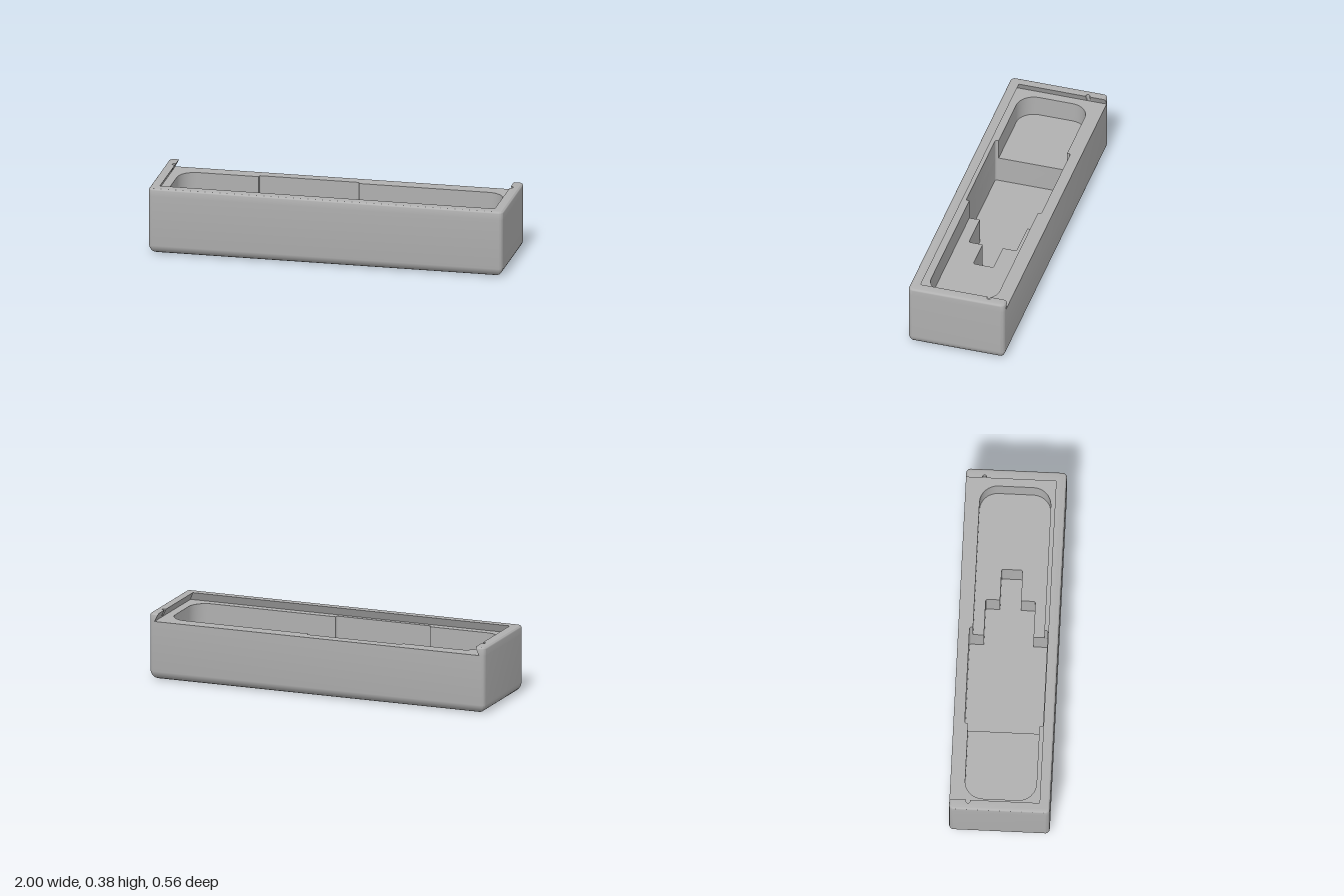
import * as THREE from 'three';
import { mergeGeometries, toCreasedNormals } from 'three/addons/utils/BufferGeometryUtils.js';

const X = 1, Z = 0.278, H = 0.381;        // outer half sizes and height
const DECK = 0.335, LEDGE = 0.215, FLOOR = 0.06;
const EDGE = 0.025, BASE_R = 0.06, TOP_R = 0.015;

// Polygon [x, z, radius] with rounded right-angled corners, as a list of [x, z]
function rounded(corners, steps = 8) {
  const out = [];
  corners.forEach(([x, z, r = 0], i) => {
    if (!r) { out.push([x, z]); return; }
    const toward = (q) => {
      const dx = q[0] - x, dz = q[1] - z, l = Math.hypot(dx, dz);
      return [dx / l * r, dz / l * r];
    };
    const a = toward(corners[(i + corners.length - 1) % corners.length]);
    const b = toward(corners[(i + 1) % corners.length]);
    for (let k = 0; k <= steps; k++) {
      const t = k / steps * Math.PI / 2, u = 1 - Math.cos(t), v = 1 - Math.sin(t);
      out.push([x + a[0] * v + b[0] * u, z + a[1] * v + b[1] * u]);
    }
  });
  return out;
}

// Walls through a stack of matching loops {y, pts}; outward or inward facing
function loft(levels, outward) {
  const pos = [];
  for (let k = 0; k + 1 < levels.length; k++) {
    const lo = levels[k], hi = levels[k + 1], n = lo.pts.length;
    for (let i = 0; i < n; i++) {
      const j = (i + 1) % n;
      const p = (l, m) => [l.pts[m][0], l.y, l.pts[m][1]];
      const a = p(lo, i), b = p(lo, j), c = p(hi, j), d = p(hi, i);
      pos.push(...(outward ? [a, c, b, a, d, c] : [a, b, c, a, c, d]).flat());
    }
  }
  const g = new THREE.BufferGeometry();
  g.setAttribute('position', new THREE.Float32BufferAttribute(pos, 3));
  return g;
}

// Flat face at height y, facing up or down, with an optional hole
function face(pts, y, hole, up = true) {
  const s = up ? -1 : 1;
  const vec = (list) => list.map(([x, z]) => new THREE.Vector2(x, s * z));
  const shape = new THREE.Shape(vec(pts));
  if (hole) shape.holes.push(new THREE.Path(vec(hole)));
  const g = new THREE.ShapeGeometry(shape).rotateX(s * Math.PI / 2).translate(0, y, 0).toNonIndexed();
  g.deleteAttribute('uv');
  g.deleteAttribute('normal');
  return g;
}

// Outer outline pulled in by an inset
function outline(inset) {
  const x = X - inset, z = Z - inset, r = Math.max(EDGE - inset, 0.004);
  return rounded([[-x, -z, r], [x, -z, r], [x, z, r], [-x, z, r]]);
}

// U-shaped lip outline, open at the back, with a round detent notch on each side
function lipOutline(y, inset) {
  const x = X - inset, z = Z - inset, r = EDGE - inset;
  const f = (y - DECK) / (H - DECK);
  const xi = 0.968 - 0.023 * f, zi = 0.243 - 0.023 * f;
  const nr = 0.011, nx = 0.953, nz = -0.175;
  const notch = [[xi, nz + nr]];
  for (let k = 0; k <= 10; k++) {
    const t = k / 10 * Math.PI;
    notch.push([Math.max(xi, nx + nr * Math.sin(t)), nz + nr * Math.cos(t)]);
  }
  notch.push([xi, nz - nr]);
  const mirrored = notch.map(([a, b]) => [-a, b]).reverse();
  return rounded([[-x, -z, r], [-xi, -z], ...mirrored, [-xi, zi], [xi, zi], ...notch,
    [xi, -z], [x, -z, r], [x, z, r], [-x, z, r]]);
}

export function createModel() {
  const group = new THREE.Group();
  const grey = new THREE.MeshStandardMaterial({ color: 0xb0b0b0 });
  grey.name = 'grey';
  const add = (name, parts) => {
    const mesh = new THREE.Mesh(toCreasedNormals(mergeGeometries(parts), 0.6), grey);
    mesh.name = name;
    group.add(mesh);
  };

  // Cavity outlines: tray with a bulge, and the stepped pocket
  const T = 0.918, W = 0.197, R = 0.1, P0 = -0.48, P1 = 0.085, PW = 0.216, c = 0.01;
  const mirror = (half) => [...half, ...half.map(([x, z, r]) => [x, -z, r]).reverse()];
  const tray = rounded(mirror([[-T, -W, R], [P0, -W], [P0, -PW, c], [P1, -PW, c], [P1, -W], [T, -W, R]]));
  const steps = [[P1, -0.137], [0.295, -0.137, c], [0.295, -0.058], [0.475, -0.058, c]];
  const pocket = rounded(mirror([[P0, -PW, c], [P1, -PW, c], ...steps]));

  // Outer shell with a large bottom fillet
  const shell = [];
  for (let k = 0; k <= 10; k++) {
    const t = k / 10 * Math.PI / 2;
    shell.push({ y: BASE_R * (1 - Math.cos(t)), pts: outline(BASE_R * (1 - Math.sin(t))) });
  }
  shell.push({ y: DECK, pts: outline(0) });
  add('caseShell', [loft(shell, true), face(shell[0].pts, 0, null, false)]);

  // Channel floor around the cavity
  add('lidChannelFloor', [face(outline(0), DECK, tray)]);

  // Undercut lip that holds a sliding lid
  const lip = [{ y: DECK, pts: lipOutline(DECK, 0) }];
  for (let k = 0; k <= 6; k++) {
    const t = k / 6 * Math.PI / 2, y = H - TOP_R + TOP_R * Math.sin(t);
    lip.push({ y, pts: lipOutline(y, TOP_R * (1 - Math.cos(t))) });
  }
  add('lidLip', [loft(lip, true), face(lip[lip.length - 1].pts, H)]);

  // Shallow tray: walls and the two ledges beside the pocket
  add('trayWalls', [loft([{ y: LEDGE, pts: tray }, { y: DECK, pts: tray }], false)]);
  add('trayLedges', [
    face(rounded([[-T, -W, R], [P0, -W], [P0, W], [-T, W, R]]), LEDGE),
    face(rounded([[P1, -W], [T, -W, R], [T, W, R], [P1, W],
      ...mirror(steps).reverse()]), LEDGE),
  ]);

  // Deep stepped pocket
  add('pocket', [
    loft([{ y: FLOOR, pts: pocket }, { y: LEDGE, pts: pocket }], false),
    face(pocket, FLOOR),
  ]);
  return group;
}
